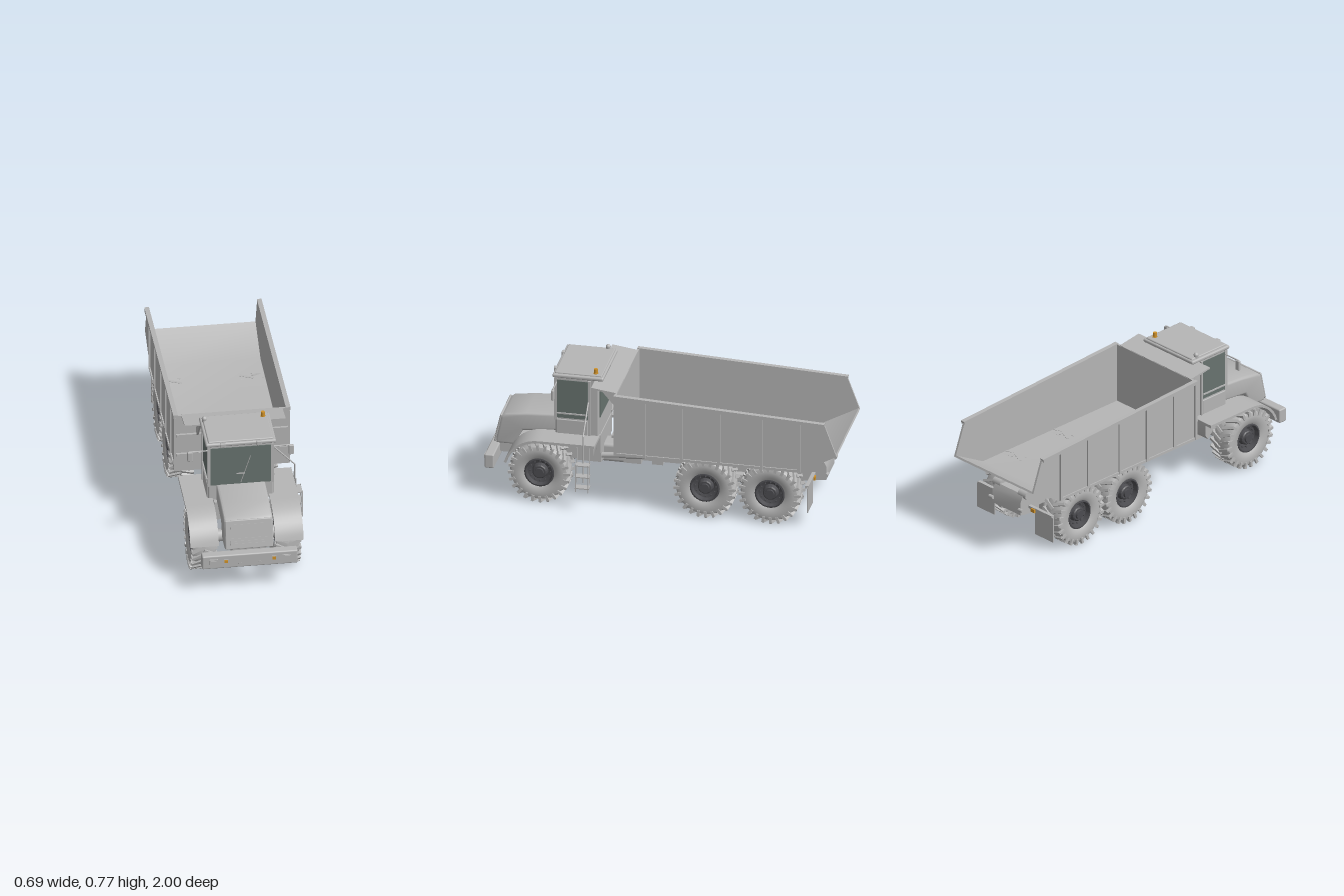
import * as THREE from 'three';
import { mergeGeometries, toCreasedNormals } from 'three/addons/utils/BufferGeometryUtils.js';
import { RoundedBoxGeometry } from 'three/addons/geometries/RoundedBoxGeometry.js';

export function createModel() {
  const model = new THREE.Group();
  model.name = 'dumpTruck';
  const truck = new THREE.Group();
  truck.name = 'truck';
  truck.position.x = -0.02;
  model.add(truck);

  const mat = (name, color) => Object.assign(new THREE.MeshStandardMaterial({ color }), { name });
  const body = mat('bodyGrey', 0xb5b5b5);
  const dark = mat('rimDark', 0x4c4c50);
  const glass = mat('windowGlass', 0x68736f);
  const amber = mat('amberLight', 0xd0922a);

  const add = (name, geo, m = body, parent = truck) => {
    const mesh = new THREE.Mesh(geo, m);
    mesh.name = name;
    parent.add(mesh);
    return mesh;
  };
  // box from min/max ranges
  const box = (name, [x0, x1], [y0, y1], [z0, z1], m = body, r = 0) => {
    const w = x1 - x0, h = y1 - y0, d = z1 - z0;
    const g = r ? new RoundedBoxGeometry(w, h, d, 2, r) : new THREE.BoxGeometry(w, h, d);
    g.translate((x0 + x1) / 2, (y0 + y1) / 2, (z0 + z1) / 2);
    return add(name, g, m);
  };
  const both = (name, [x0, x1], y, z, m = body, r = 0) => {
    box(name + 'Left', [x0, x1], y, z, m, r);
    box(name + 'Right', [-x1, -x0], y, z, m, r);
  };
  // side outline in (z, y), extruded across x and centred on cx
  const side = (name, pts, width, cx = 0, bevel = 0) => {
    const shape = new THREE.Shape(pts.map(p => new THREE.Vector2(p[0], p[1])));
    let g = new THREE.ExtrudeGeometry(shape, {
      depth: width - 2 * bevel, bevelEnabled: bevel > 0, bevelSize: bevel,
      bevelThickness: bevel, bevelOffset: -bevel, bevelSegments: 3,
    });
    g.translate(0, 0, bevel - width / 2);
    g.rotateY(-Math.PI / 2);
    g.translate(cx, 0, 0);
    g = toCreasedNormals(g, 0.6);
    return add(name, g);
  };
  // rod between two points
  const rod = (name, a, b, r, m = body) => {
    const p = new THREE.Vector3(...a), q = new THREE.Vector3(...b);
    const mesh = add(name, new THREE.CylinderGeometry(r, r, p.distanceTo(q), 14), m);
    mesh.position.copy(p).lerp(q, 0.5);
    mesh.quaternion.setFromUnitVectors(new THREE.Vector3(0, 1, 0), q.sub(p).normalize());
    return mesh;
  };
  const lathe = (pts, seg = 48) => toCreasedNormals(
    new THREE.LatheGeometry(pts.map(p => new THREE.Vector2(...p)), seg).rotateZ(-Math.PI / 2), 0.6);

  // Wheels: tyre, chevron lugs, dished rim, hub and bolts; outside faces +x
  const tyreGeo = lathe([[0.085, -0.055], [0.1, -0.064], [0.135, -0.068], [0.155, -0.062], [0.164, -0.045],
    [0.165, 0], [0.164, 0.045], [0.155, 0.062], [0.135, 0.068], [0.1, 0.064], [0.085, 0.055], [0.078, 0.035]]);
  const rimGeo = lathe([[0.002, -0.03], [0.084, -0.05], [0.084, 0.056], [0.076, 0.058], [0.07, 0.03],
    [0.045, 0.022], [0.04, 0.045], [0.034, 0.05], [0.002, 0.05]]);
  const lugs = [], bolts = [];
  const LUGS = 24;
  for (let i = 0; i < LUGS; i++) {
    for (const s of [-1, 1]) {
      const a = (i + (s > 0 ? 0.5 : 0)) / LUGS * Math.PI * 2;
      lugs.push(new THREE.BoxGeometry(0.078, 0.018, 0.015).rotateY(s * 0.42)
        .translate(s * 0.033, 0.166, 0).rotateX(a));
      lugs.push(new THREE.BoxGeometry(0.012, 0.034, 0.015)
        .translate(s * 0.066, 0.155, -0.014).rotateX(a));
    }
  }
  for (let i = 0; i < 12; i++)
    bolts.push(new THREE.CylinderGeometry(0.004, 0.004, 0.012, 6).rotateZ(Math.PI / 2)
      .translate(0.034, 0.058, 0).rotateX(i * Math.PI / 6));
  const lugGeo = mergeGeometries(lugs), boltGeo = mergeGeometries(bolts);
  const hubGeo = new THREE.CylinderGeometry(0.024, 0.026, 0.012, 20).rotateZ(-Math.PI / 2).translate(0.054, 0, 0);
  for (const [label, z] of [['front', 0.675], ['middle', -0.255], ['rear', -0.62]]) {
    for (const s of [1, -1]) {
      const w = new THREE.Group();
      w.name = label + 'Wheel' + (s > 0 ? 'Left' : 'Right');
      w.position.set(s * 0.232, 0.179, z);
      if (s < 0) w.rotation.y = Math.PI;
      truck.add(w);
      add('tyre', tyreGeo, body, w);
      add('treadLugs', lugGeo, body, w);
      add('rim', rimGeo, dark, w);
      add('wheelBolts', boltGeo, dark, w);
      add('hubCap', hubGeo, dark, w);
    }
    rod(label + 'Axle', [-0.2, 0.18, z], [0.2, 0.18, z], 0.035);
    box(label + 'Differential', [-0.075, 0.075], [0.125, 0.24], [z - 0.06, z + 0.06], body, 0.015);
  }

  // Chassis, articulation joint and rear block
  box('frontFrame', [-0.09, 0.09], [0.19, 0.29], [0.36, 0.94]);
  box('cabBase', [-0.15, 0.15], [0.26, 0.37], [0.36, 0.64]);
  box('bellyPlate', [-0.13, 0.13], [0.2, 0.26], [0.36, 0.5]);
  box('articulationJoint', [-0.06, 0.06], [0.17, 0.28], [0.2, 0.38], body, 0.02);
  box('jointYoke', [-0.11, 0.11], [0.2, 0.26], [0.14, 0.24]);
  both('rearFrameRail', [0.06, 0.1], [0.22, 0.32], [-0.82, 0.22]);
  side('bedSupport', [[0.24, 0.345], [0.2, 0.325], [-0.1, 0.305], [-0.78, 0.31], [-0.78, 0.345]], 0.24);
  for (const z of [0.05, -0.12, -0.44]) box('crossMember', [-0.1, 0.1], [0.2, 0.28], [z - 0.03, z + 0.03]);
  both('rockerBeam', [0.1, 0.14], [0.16, 0.21], [-0.6, -0.28], body, 0.01);
  side('rearBlock', [[-0.76, 0.33], [-0.88, 0.33], [-0.9, 0.29], [-0.9, 0.21], [-0.76, 0.19]], 0.22);
  for (const s of [1, -1]) {
    rod('steeringCylinder', [s * 0.11, 0.23, 0.42], [s * 0.11, 0.25, 0.2], 0.016);
    rod('hoistCylinder', [s * 0.125, 0.255, 0.22], [s * 0.125, 0.275, 0.06], 0.023);
    rod('hoistRod', [s * 0.125, 0.275, 0.08], [s * 0.125, 0.305, -0.12], 0.012);
    rod('bedHinge', [s * 0.07, 0.325, -0.86], [s * 0.13, 0.325, -0.86], 0.025);
    rod('towPin', [s * 0.1, 0.245, -0.905], [s * 0.13, 0.245, -0.905], 0.01);
    box('mudFlap', [s * 0.23 - 0.07, s * 0.23 + 0.07], [0.09, 0.24], [-0.837, -0.831]);
    box('mudFlapArm', [Math.min(s * 0.1, s * 0.29), Math.max(s * 0.1, s * 0.29)], [0.235, 0.25], [-0.84, -0.82]);
    box('tailLight', [s * 0.15 - 0.014, s * 0.15 + 0.014], [0.225, 0.245], [-0.849, -0.84], amber);
  }

  // Dump bed
  side('bedFloor', [[0.25, 0.352], [-0.79, 0.352], [-0.995, 0.463], [-1, 0.453], [-0.79, 0.34], [0.25, 0.34]], 0.62);
  box('bedFrontWall', [-0.31, 0.31], [0.345, 0.7], [0.238, 0.25]);
  for (const y of [0.45, 0.575]) box('frontWallRib', [-0.31, 0.31], [y - 0.008, y + 0.008], [0.25, 0.264]);
  for (const s of [1, -1]) {
    side('bedSide', [[0.25, 0.7], [-0.93, 0.645], [-1, 0.455], [-0.79, 0.34], [0.25, 0.34]], 0.012, s * 0.306);
    side('bedRim', [[0.25, 0.704], [-0.935, 0.649], [-0.93, 0.629], [0.25, 0.684]], 0.026, s * 0.312);
    for (const z of [0.242, 0.08, -0.13, -0.34, -0.58, -0.79])
      box('bedRib', [s * 0.315 - 0.006, s * 0.315 + 0.006], [0.342, 0.683 + (z - 0.25) * 0.046], [z - 0.008, z + 0.008]);
    box('bedLowerRail', [s * 0.314 - 0.005, s * 0.314 + 0.005], [0.34, 0.355], [-0.79, 0.25]);
    side('canopyGusset', [[0.25, 0.7], [0.385, 0.715], [0.26, 0.57], [0.25, 0.56]], 0.01, s * 0.193);
  }
  side('bedCanopy', [[0.24, 0.69], [0.24, 0.702], [0.385, 0.722], [0.385, 0.713]], 0.56);

  // Hood, grille and bumper
  side('hood', [[0.6, 0.468], [0.78, 0.458], [0.9, 0.442], [0.922, 0.425], [0.952, 0.29], [0.95, 0.26],
    [0.85, 0.26], [0.8, 0.35], [0.6, 0.37]], 0.272, 0, 0.014);
  const grille = new THREE.Group();
  grille.name = 'grille';
  grille.position.set(0, 0.35, 0.94);
  grille.rotation.x = -0.215;
  truck.add(grille);
  add('grilleFrame', new RoundedBoxGeometry(0.262, 0.17, 0.012, 2, 0.005), body, grille);
  add('grillePanel', new THREE.BoxGeometry(0.206, 0.12, 0.006), body, grille).position.z = 0.006;
  for (const y of [-0.053, -0.038, -0.022])
    add('grilleSlat', new THREE.BoxGeometry(0.206, 0.004, 0.006), body, grille).position.set(0, y, 0.009);
  box('bumper', [-0.265, 0.265], [0.165, 0.248], [0.935, 0.988], body, 0.008);
  for (const s of [1, -1]) {
    const x = s * 0.203;
    box('headlightFrame', [x - 0.024, x + 0.024], [0.197, 0.228], [0.985, 0.996]);
    box('headlightLens', [x - 0.018, x + 0.018], [0.202, 0.223], [0.995, 1]);
    const a = s * 0.133;
    box('indicatorFrame', [a - 0.012, a + 0.012], [0.201, 0.225], [0.985, 0.993]);
    box('indicator', [a - 0.009, a + 0.009], [0.204, 0.222], [0.991, 0.997], amber);
    rod('towEye', [s * 0.053, 0.19, 0.98], [s * 0.053, 0.19, 0.991], 0.01);
    box('bumperBracket', [s * 0.08 - 0.015, s * 0.08 + 0.015], [0.2, 0.27], [0.88, 0.94]);
  }

  // Fenders: faceted arc over the front wheel, then a flat deck beside the cab
  const arc = (r, a0, a1) => Array.from({ length: 9 }, (_, i) => {
    const a = THREE.MathUtils.degToRad(a0 + (a1 - a0) * i / 8);
    return [0.675 + r * Math.cos(a), 0.18 + r * Math.sin(a)];
  });
  const fender = [...arc(0.202, 16, 92), [0.36, 0.382], [0.36, 0.366], ...arc(0.188, 92, 16)];
  for (const s of [1, -1]) {
    side('fender', fender, 0.158, s * 0.235);
    side('fenderRear', [[0.5, 0.37], [0.38, 0.37], [0.38, 0.29], [0.4, 0.26]], 0.1, s * 0.2);
  }

  // Cab
  box('cabBody', [-0.18, 0.18], [0.36, 0.722], [0.365, 0.608], body, 0.008);
  box('windshield', [-0.168, 0.168], [0.466, 0.705], [0.605, 0.612], glass);
  box('rearWindow', [-0.15, 0.15], [0.48, 0.69], [0.361, 0.367], glass);
  both('sideWindow', [0.176, 0.183], [0.475, 0.704], [0.425, 0.602], glass);
  both('doorPanel', [0.176, 0.186], [0.375, 0.466], [0.425, 0.6], body, 0.004);
  both('doorPost', [0.178, 0.19], [0.375, 0.712], [0.408, 0.422]);
  both('doorRail', [0.18, 0.19], [0.5, 0.507], [0.425, 0.6]);
  both('frontPillar', [0.17, 0.184], [0.46, 0.715], [0.596, 0.614]);
  box('roof', [-0.195, 0.195], [0.72, 0.742], [0.335, 0.622], body, 0.009);
  box('roofCap', [-0.18, 0.18], [0.735, 0.75], [0.345, 0.61], body, 0.006);
  both('roofLamp', [0.086, 0.115], [0.718, 0.744], [0.612, 0.63], body, 0.004);
  rod('wiperArm', [0, 0.48, 0.616], [0.053, 0.645, 0.616], 0.002);
  rod('wiperBlade', [-0.025, 0.537, 0.616], [0.022, 0.534, 0.616], 0.003);
  rod('beaconBase', [0.153, 0.74, 0.385], [0.153, 0.753, 0.385], 0.014, amber);
  rod('beacon', [0.153, 0.75, 0.385], [0.153, 0.777, 0.385], 0.011, amber);
  rod('antennaBase', [-0.172, 0.74, 0.385], [-0.172, 0.76, 0.385], 0.013);
  add('antennaDome', new THREE.SphereGeometry(0.014, 16, 10)).position.set(-0.172, 0.76, 0.385);

  // Mirrors
  for (const s of [1, -1]) {
    rod('mirrorArm', [s * 0.17, 0.688, 0.6], [s * 0.285, 0.688, 0.6], 0.004);
    box('mirror', [s * 0.281 - 0.014, s * 0.281 + 0.014], [0.628, 0.688], [0.592, 0.608], body, 0.005);
  }

  // Boarding ladder and handrail on the left
  for (const z of [0.385, 0.455]) {
    rod('ladderOuterRail', [0.362, 0.118, z], [0.362, 0.285, z], 0.003);
    rod('ladderInnerRail', [0.326, 0.16, z], [0.326, 0.37, z], 0.003);
  }
  for (const y of [0.14, 0.208, 0.277]) box('ladderStep', [0.318, 0.364], [y - 0.003, y + 0.003], [0.38, 0.46]);
  rod('handrailPost', [0.326, 0.16, 0.42], [0.326, 0.44, 0.42], 0.004);
  rod('handrail', [0.19, 0.585, 0.42], [0.326, 0.44, 0.42], 0.004);

  return model;
}
